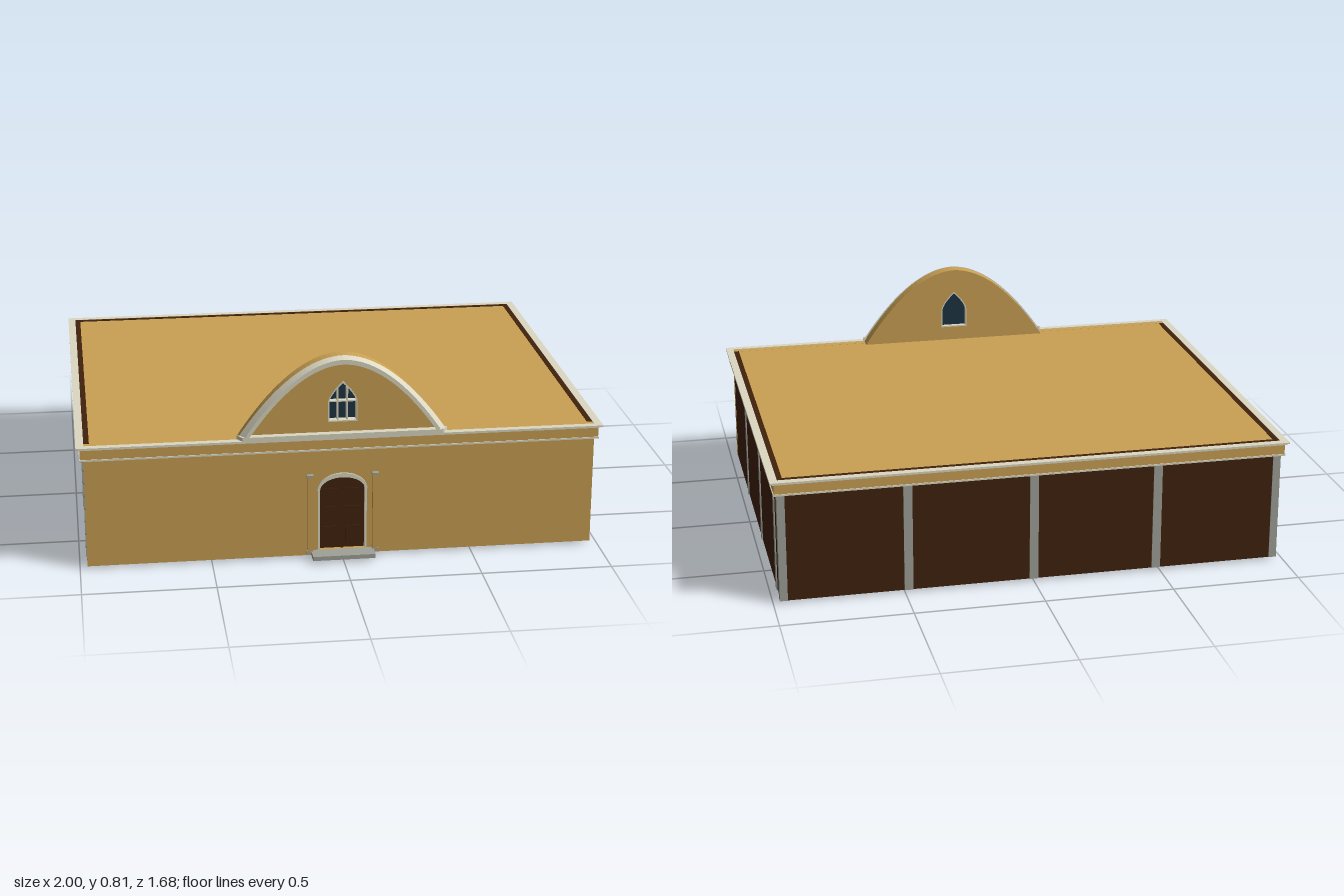
import * as THREE from 'three';

const mat = (name, color) => {
  const m = new THREE.MeshStandardMaterial({ color });
  m.name = name;
  return m;
};

export function createModel() {
  const model = new THREE.Group();
  const plaster = mat('ochre plaster', 0xcaa153);
  const wood = mat('dark brown wood', 0x40220c);
  const stone = mat('grey stone', 0xa0a298);
  const trim = mat('pale trim', 0xdcd8c2);
  const glass = mat('blue glass', 0x1e3442);

  const add = (name, geo, material) => {
    const mesh = new THREE.Mesh(geo, material);
    mesh.name = name;
    model.add(mesh);
    return mesh;
  };
  // Box given by its limits on each axis
  const box = (name, material, x0, x1, y0, y1, z0, z1) => {
    const geo = new THREE.BoxGeometry(x1 - x0, y1 - y0, z1 - z0);
    geo.translate((x0 + x1) / 2, (y0 + y1) / 2, (z0 + z1) / 2);
    return add(name, geo, material);
  };
  // Upright shape extruded from z0 to z1
  const slab = (name, material, shape, z0, z1) => {
    const geo = new THREE.ExtrudeGeometry(shape, { depth: z1 - z0, bevelEnabled: false, curveSegments: 16 });
    geo.translate(0, 0, z0);
    return add(name, geo, material);
  };
  const poly = (pts) => new THREE.Shape(pts.map(([x, y]) => new THREE.Vector2(x, y)));

  // Draws the front face of a moulding inward so its outer side slopes
  const slopeFront = (mesh, base) => {
    const p = mesh.geometry.attributes.position;
    for (let i = 0; i < p.count; i++) {
      if (p.getZ(i) < 0.78) continue;
      p.setX(i, p.getX(i) * 0.95);
      p.setY(i, base + (p.getY(i) - base) * 0.97);
    }
    mesh.geometry.computeVertexNormals();
  };

  // Door outline: straight sides under an elliptical head
  const doorPts = (w, y0, spring, top) => {
    const pts = [[-w, y0], [w, y0]];
    for (let i = 0; i <= 20; i++) {
      const a = (i / 20) * Math.PI;
      pts.push([w * Math.cos(a), spring + (top - spring) * Math.sin(a)]);
    }
    return pts;
  };
  // Window outline: pointed arch
  const windowPts = (w, y0, spring, top) => {
    const pts = [[-w, y0], [w, y0]];
    for (let i = -8; i <= 8; i++) {
      const t = 1 - Math.abs(i) / 8;
      pts.push([-Math.sign(i) * w * (1 - Math.pow(t, 1.5)), spring + (top - spring) * t]);
    }
    return pts;
  };
  const withHole = (outer, inner) => {
    const s = poly(outer);
    s.holes.push(poly(inner));
    return s;
  };

  // Front wall with door opening
  const wallOutline = [[-0.972, 0.01], [0.972, 0.01], [0.972, 0.493], [-0.972, 0.493]];
  slab('frontWall', plaster, withHole(wallOutline, doorPts(0.09, 0.03, 0.275, 0.33)), 0.74, 0.77);

  // Timber side and back walls, flush with the roof edge
  for (const s of [-1, 1]) {
    box('sideWall', wood, s * 0.96 - 0.011, s * 0.96 + 0.011, 0.01, 0.494, -0.81, 0.74);
  }
  box('backWall', wood, -0.949, 0.949, 0.01, 0.494, -0.81, -0.788);
  box('roof', plaster, -0.949, 0.949, 0.476, 0.4925, -0.788, 0.74);

  // Stone pilasters; the two sides are spaced from opposite corners
  const sideSpacing = { '1': [0.285, -0.203, -0.69], '-1': [-0.33, 0.165, 0.66] };
  for (const s of [-1, 1]) {
    for (const z of sideSpacing[s]) {
      box('sidePilaster', stone, s * 0.972 - 0.003, s * 0.972 + 0.003, 0.01, 0.44, z - 0.017, z + 0.017);
    }
    box('cornerPost', stone, s * 0.96 - 0.015, s * 0.96 + 0.015, 0.01, 0.44, -0.813, -0.78);
  }
  for (const x of [-0.485, 0, 0.485]) {
    box('backPilaster', stone, x - 0.017, x + 0.017, 0.01, 0.44, -0.814, -0.808);
  }

  // Cornice rings around the building; out is the overhang
  const ring = (name, material, out, y0, y1) => {
    const rect = (x, zBack, zFront) => [[-x, -zFront], [x, -zFront], [x, -zBack], [-x, -zBack]];
    const shape = withHole(rect(0.97 + out, -0.81 - out, 0.765 + out), rect(0.97, -0.81, 0.768));
    const geo = new THREE.ExtrudeGeometry(shape, { depth: y1 - y0, bevelEnabled: false });
    geo.rotateX(-Math.PI / 2).translate(0, y0, 0);
    add(name, geo, material);
  };
  ring('corniceLowerMoulding', trim, 0.018, 0.438, 0.445);
  ring('corniceBand', plaster, 0.015, 0.445, 0.483);
  ring('corniceMiddleMoulding', trim, 0.021, 0.483, 0.489);
  ring('corniceTopMoulding', trim, 0.03, 0.489, 0.495);

  // Arched gable with a pointed window
  const arch = (w, top, base, n = 40) => Array.from({ length: n + 1 }, (_, i) => {
    const t = 1 - (2 * i) / n;
    return [w * t, top - (top - base) * Math.pow(Math.abs(t), 1.9)];
  });
  const opening = windowPts(0.056, 0.55, 0.63, 0.71);
  slab('gable', plaster, withHole(arch(0.398, 0.808, 0.485), opening), 0.715, 0.77);
  const band = poly([...arch(0.4, 0.81, 0.495), ...arch(0.382, 0.791, 0.495).reverse()]);
  slopeFront(slab('gableMoulding', trim, band, 0.768, 0.795), 0.495);
  slopeFront(box('gableSill', trim, -0.4, 0.4, 0.493, 0.51, 0.765, 0.796), 0.493);

  // Window glass, frame and bars
  slab('windowGlass', glass, poly(opening), 0.735, 0.743);
  slab('windowFrame', trim, withHole(opening, windowPts(0.051, 0.555, 0.63, 0.702)), 0.716, 0.774);
  for (const x of [-0.018, 0.018]) {
    box('windowBar', trim, x - 0.003, x + 0.003, 0.552, 0.682, 0.742, 0.768);
  }
  box('windowCrossbar', trim, -0.052, 0.052, 0.626, 0.631, 0.742, 0.766);

  // Double door with raised panels
  slab('door', wood, poly(doorPts(0.09, 0.03, 0.275, 0.33)), 0.742, 0.755);
  for (const s of [-1, 1]) {
    for (const [y0, y1] of [[0.05, 0.12], [0.14, 0.2], [0.22, 0.275]]) {
      box('doorPanel', wood, s * 0.044 - 0.028, s * 0.044 + 0.028, y0, y1, 0.754, 0.759);
    }
  }
  box('doorMeetingRail', wood, -0.005, 0.005, 0.03, 0.325, 0.754, 0.761);

  // Stone door head and slim jambs
  const half = doorPts(0.096, 0.275, 0.275, 0.343).slice(2);
  const inner = doorPts(0.086, 0.275, 0.275, 0.326).slice(2).reverse();
  slab('doorHead', trim, poly([...half, ...inner]), 0.756, 0.777);
  for (const s of [-1, 1]) {
    box('doorJamb', trim, s * 0.09 - 0.004, s * 0.09 + 0.004, 0.03, 0.275, 0.756, 0.773);
    // Flanking pilasters
    box('doorPilaster', plaster, s * 0.125 - 0.01, s * 0.125 + 0.01, 0.03, 0.335, 0.768, 0.786);
    box('pilasterCap', stone, s * 0.125 - 0.013, s * 0.125 + 0.013, 0.335, 0.342, 0.768, 0.789);
    box('pilasterBase', stone, s * 0.125 - 0.013, s * 0.125 + 0.013, 0.022, 0.032, 0.768, 0.789);
  }

  // Entrance steps
  box('upperStep', stone, -0.12, 0.12, 0.014, 0.03, 0.745, 0.838);
  box('lowerStep', stone, -0.11, 0.11, 0, 0.014, 0.765, 0.808);

  return model;
}
